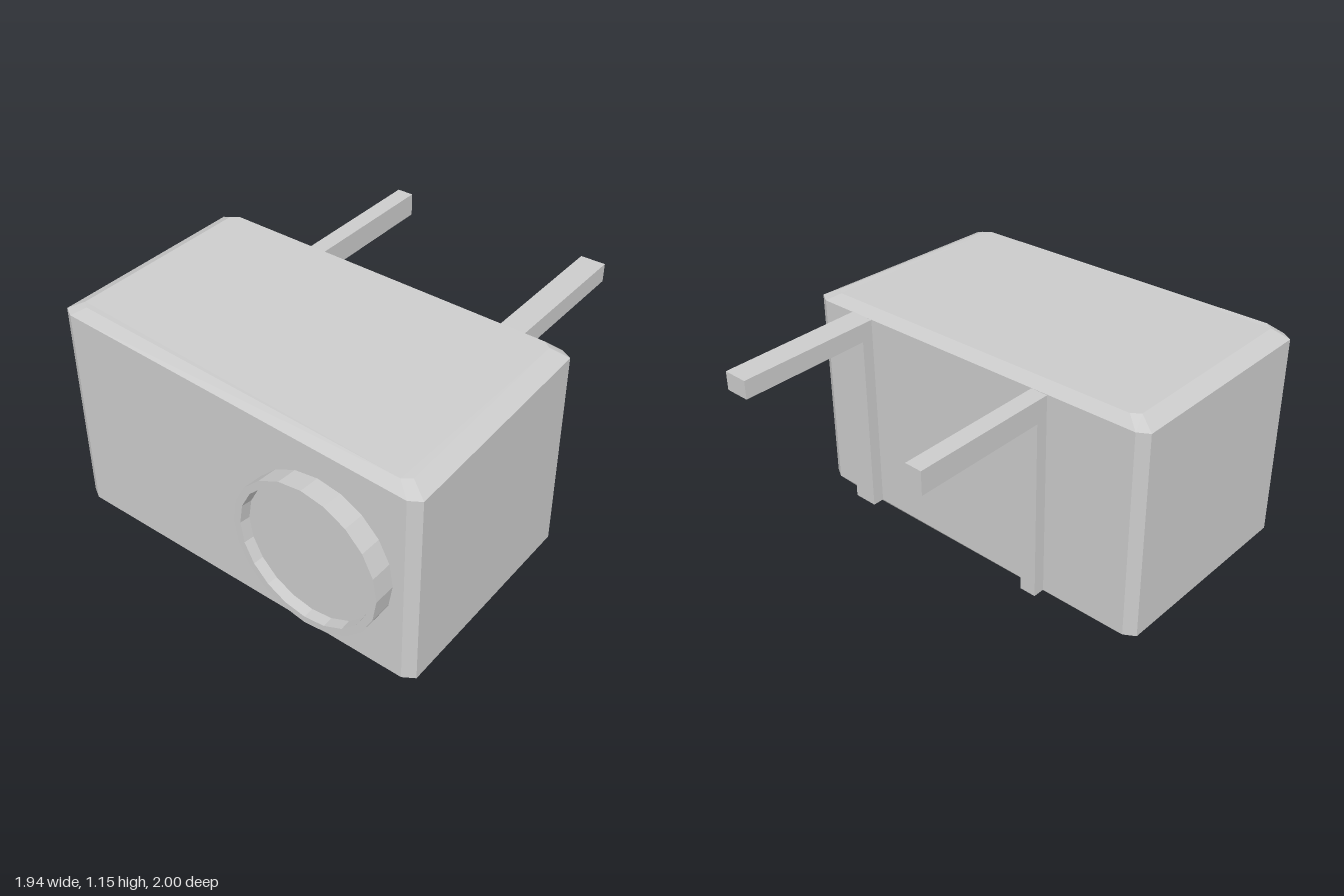
import * as THREE from 'three';

const grey = () => new THREE.MeshStandardMaterial({ color: 0xcccccc, flatShading: true });

// Eight-point ring: a rectangle with cut corners.
// Heights are given for the corners front left(+x), back(+x), back(-x), front(-x).
function ring(halfX, frontPlus, frontMinus, back, cutX, cutZ, heights) {
  const [a, b, c, d] = heights;
  const x = halfX;
  return [
    [x - cutX, a, frontPlus], [x, a, frontPlus - cutZ],
    [x, b, back + cutZ], [x - cutX, b, back],
    [-x + cutX, c, back], [-x, c, back + cutZ],
    [-x, d, frontMinus - cutZ], [-x + cutX, d, frontMinus],
  ];
}

// Closed solid from a stack of rings, bottom to top
function loft(rings) {
  const n = rings[0].length;
  const index = [];
  for (let r = 0; r < rings.length - 1; r++) {
    for (let i = 0; i < n; i++) {
      const j = (i + 1) % n;
      const p = r * n + i, q = r * n + j;
      index.push(p, q, q + n, p, q + n, p + n);
    }
  }
  const top = (rings.length - 1) * n;
  for (let i = 1; i < n - 1; i++) {
    index.push(0, i + 1, i);
    index.push(top, top + i, top + i + 1);
  }
  const g = new THREE.BufferGeometry();
  g.setAttribute('position', new THREE.Float32BufferAttribute(rings.flat(2), 3));
  g.setIndex(index);
  const flat = g.toNonIndexed();
  flat.computeVertexNormals();
  return flat;
}

export function createModel() {
  const group = new THREE.Group();
  const add = (name, geometry) => {
    const mesh = new THREE.Mesh(geometry, grey());
    mesh.name = name;
    group.add(mesh);
    return mesh;
  };

  // Slightly crooked housing with chamfered edges
  add('housing', loft([
    ring(0.89, 0.845, 0.8, -0.215, 0.04, 0.03, [0.018, 0, 0.005, 0.015]),
    ring(0.97, 0.895, 0.843, -0.26, 0.055, 0.033, [0.068, 0.055, 0.055, 0.063]),
    ring(0.97, 0.895, 0.843, -0.26, 0.055, 0.033, [1.033, 1.072, 1.113, 1.11]),
    ring(0.89, 0.845, 0.8, -0.215, 0.04, 0.03, [1.075, 1.115, 1.155, 1.153]),
  ]));

  // Fan ring with a recessed floor
  const profile = [[0.375, -0.16], [0.38, 0], [0.345, 0], [0.34, -0.05], [0, -0.05]]
    .map(([r, h]) => new THREE.Vector2(r, h));
  const fanGeometry = new THREE.LatheGeometry(profile, 20);
  fanGeometry.rotateX(Math.PI / 2);
  fanGeometry.scale(1, 0.955, 1);
  const fan = add('fanRing', fanGeometry);
  fan.material.side = THREE.DoubleSide;
  fan.position.set(0.48, 0.555, 0.983);
  fan.rotation.y = -0.045;

  // L-shaped wall brackets: a post down the back and an arm reaching behind
  for (const [name, x0, x1, top] of [['leftBracket', 0.6, 0.725, 1.078], ['rightBracket', -0.46, -0.375, 1.1]]) {
    const shape = new THREE.Shape([
      [0.24, 0.055], [0.32, 0.055], [0.32, 0.985], [1, 0.985], [1, top], [0.24, top],
    ].map(([z, y]) => new THREE.Vector2(z, y)));
    const geometry = new THREE.ExtrudeGeometry(shape, { depth: x1 - x0, bevelEnabled: false });
    geometry.rotateY(Math.PI / 2);
    geometry.scale(1, 1, 1);
    add(name, geometry).position.x = x0;
  }
  return group;
}
